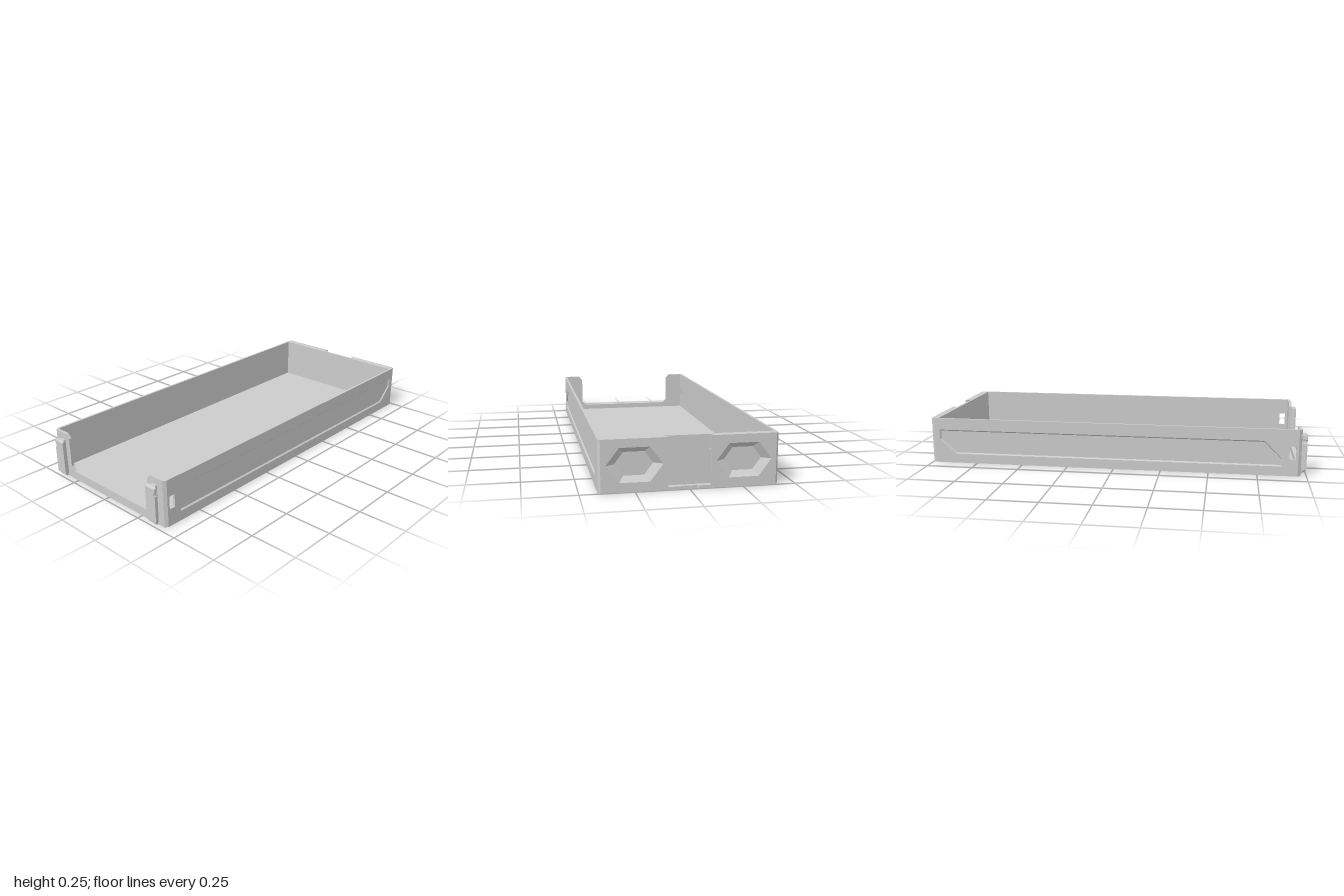
import * as THREE from 'three';

const W = 0.417, T = 0.012, H = 0.245, FLOOR = 0.015;
const BACK = -1, FRONT = 0.97, CZ = 0.015, POCKET_Z = -0.972, BACK_IN = -0.96;

const grey = new THREE.MeshStandardMaterial({ color: 0xcccccc, flatShading: true });
const thin = new THREE.MeshStandardMaterial({ color: 0xcccccc, flatShading: true, side: THREE.DoubleSide });

const toShape = (pts, holes = []) => {
  const s = new THREE.Shape(pts.map(p => new THREE.Vector2(...p)));
  for (const h of holes) s.holes.push(new THREE.Path(h.map(p => new THREE.Vector2(...p))));
  return s;
};
const rect = (x0, y0, x1, y1) => [[x0, y0], [x1, y0], [x1, y1], [x0, y1]];
const extrude = (pts, depth, holes) =>
  new THREE.ExtrudeGeometry(toShape(pts, holes), { depth, bevelEnabled: false, curveSegments: 6 });

// Footprint in (x, z), filled between two heights
const slab = (pts, y0, y1) => extrude(pts, y1 - y0).rotateX(Math.PI / 2).translate(0, y1, 0);
// Outline in (x, y), filled between two depths
const facing = (pts, z0, z1, holes) => extrude(pts, z1 - z0, holes).translate(0, 0, z0);
// Outline in (z, y), filled between two x positions
const sidePlate = (pts, x0, x1, holes) => extrude(pts, x1 - x0, holes).rotateY(-Math.PI / 2).translate(x1, 0, 0);

// Skin between matching loops of 3D points, with an optional flat cap on the last loop
function loft(loops, cap = false) {
  const pos = [];
  for (let k = 0; k + 1 < loops.length; k++) {
    const a = loops[k], b = loops[k + 1], n = a.length;
    for (let i = 0; i < n; i++) {
      const j = (i + 1) % n;
      pos.push(...a[i], ...a[j], ...b[j], ...a[i], ...b[j], ...b[i]);
    }
  }
  if (cap) {
    const last = loops[loops.length - 1];
    const flat = last.map(p => new THREE.Vector2(p[0], p[1]));
    for (const f of THREE.ShapeUtils.triangulateShape(flat, [])) for (const i of f) pos.push(...last[i]);
  }
  const g = new THREE.BufferGeometry();
  g.setAttribute('position', new THREE.Float32BufferAttribute(pos, 3));
  g.computeVertexNormals();
  return g;
}

// Copy reflected in x, with the corner order turned back
function mirrored(geo) {
  const src = (geo.index ? geo.toNonIndexed() : geo).getAttribute('position');
  const pos = [];
  for (let i = 0; i < src.count; i += 3)
    for (const k of [i, i + 2, i + 1]) pos.push(-src.getX(k), src.getY(k), src.getZ(k));
  const g = new THREE.BufferGeometry();
  g.setAttribute('position', new THREE.Float32BufferAttribute(pos, 3));
  g.computeVertexNormals();
  return g;
}

export function createModel() {
  const group = new THREE.Group();
  const add = (name, geo, mat = grey) => {
    const m = new THREE.Mesh(geo, mat);
    m.name = name;
    group.add(m);
  };
  const addPair = (name, geo, mat) => {
    add(name + 'Left', geo, mat);
    add(name + 'Right', mirrored(geo), mat);
  };

  // Floor with chamfered corners and a small notch at the back
  const xi = W - T, zb = BACK + CZ, zf = FRONT - CZ;
  add('floor', slab([
    [-xi, BACK], [-0.04, BACK], [-0.035, BACK + 0.007], [0.035, BACK + 0.007], [0.04, BACK], [xi, BACK],
    [W, zb], [W, zf], [xi, FRONT], [-xi, FRONT], [-W, zf], [-W, zb],
  ], 0, FLOOR));

  // Side walls: an outer layer with a bevelled recess, a plain inner layer, a slot through both
  const wall = rect(zb, FLOOR, zf, H);
  const slot = rect(0.91, 0.09, 0.943, 0.157);
  const recess = [[0.875, 0.05], [0.875, 0.09], [0.785, 0.182], [-0.955, 0.182], [-0.955, 0.133], [-0.868, 0.05]];
  const mid = W - 0.007;
  addPair('sideWallOuter', sidePlate(wall, mid, W, [slot, recess]));
  addPair('sideWallInner', sidePlate(wall, xi, mid, [slot]));
  addPair('sideRecessBevel', loft([
    recess.map(([z, y]) => [W, y, z]),
    recess.map(([z, y]) => [mid, 0.116 + (y - 0.116) * 0.9, -0.04 + (z + 0.04) * 0.992]),
  ]), thin);

  // Chamfered corner posts
  addPair('frontCorner', slab([[xi, zf], [W, zf], [xi, FRONT]], FLOOR, H));
  addPair('backCorner', slab([[xi, BACK], [W, zb], [xi, zb]], FLOOR, H));

  // Front wall with a wide chamfered opening
  add('frontWall', facing([
    [-xi, FLOOR], [xi, FLOOR], [xi, H], [0.322, H], [0.3, 0.223], [0.3, 0.067], [0.278, 0.045],
    [-0.278, 0.045], [-0.3, 0.067], [-0.3, 0.223], [-0.322, H], [-xi, H],
  ], zf, FRONT));

  // Back wall: inner plate, and outer panels with tapering six-sided pockets
  add('backWall', facing(rect(-xi, FLOOR, xi, H), POCKET_Z, BACK_IN));
  const hex = (k) => [[-0.13, 0], [-0.07, -0.08], [0.07, -0.08], [0.13, 0], [0.07, 0.08], [-0.07, 0.08]]
    .map(([x, y]) => [0.252 + x * k, 0.125 + y * k]);
  addPair('backPanel', facing(rect(0.115, FLOOR, xi, H), BACK, POCKET_Z, [hex(1)]));
  addPair('pocketWall', loft([
    hex(1).map(p => [...p, BACK]),
    hex(0.68).map(p => [...p, POCKET_Z]),
  ]), thin);

  // Undercut rails and detent bumps on both sides of the back channel
  addPair('channelRail', slab([[0.098, BACK], [0.115, BACK], [0.115, POCKET_Z], [0.098, BACK + 0.008]], FLOOR, H));
  addPair('channelBump', new THREE.CylinderGeometry(0.009, 0.009, 0.012, 12)
    .rotateX(Math.PI / 2).translate(0.101, 0.175, BACK + 0.007).toNonIndexed());

  // Front clips: narrow at the wall, flared at the front, notched on the outer edge
  const notch = [];
  for (let i = 0; i <= 6; i++) {
    const a = -Math.PI / 2 + (i / 6) * Math.PI;
    notch.push([0.032 - 0.007 * Math.cos(a), 0.175 + 0.011 * Math.sin(a)]);
  }
  const clip = [[-0.018, 0], [0.018, 0], [0.032, 0.025], ...notch,
    [0.032, 0.205], [0.027, 0.21], [-0.027, 0.21], [-0.032, 0.205], [-0.032, 0.025]];
  const ring = (z, k, y0, y1) => clip.map(([x, y]) => [0.35 + x * k, Math.min(Math.max(y, y0), y1), z]);
  addPair('frontClip', loft([
    ring(FRONT - 0.001, 0.5, 0, 0.21),
    ring(0.976, 0.55, 0, 0.21),
    ring(0.99, 1, 0.013, 0.21),
    ring(1, 1, 0.025, 0.203),
  ], true));

  return group;
}
